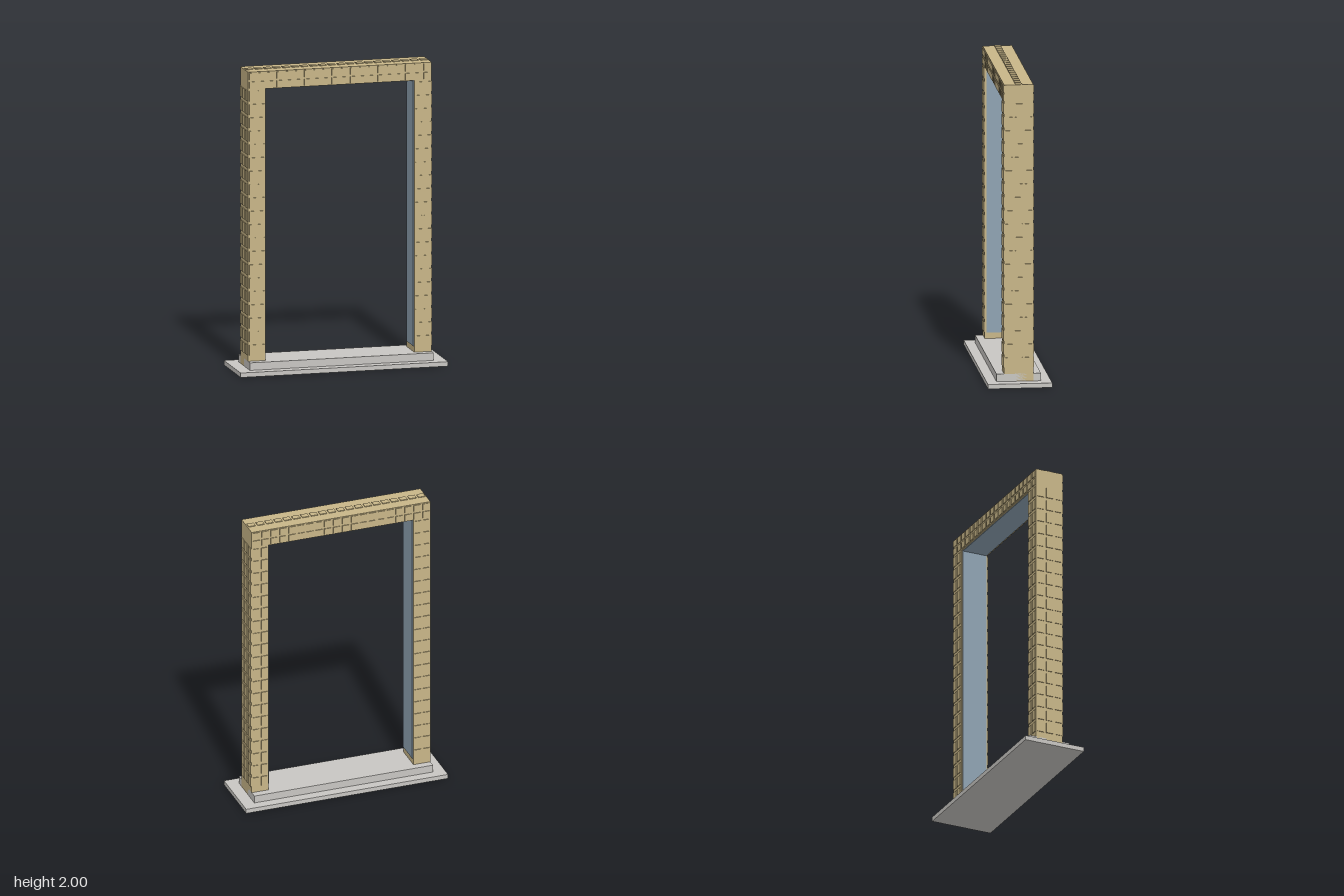
import * as THREE from 'three';
import { mergeGeometries } from 'three/addons/utils/BufferGeometryUtils.js';

const material = (name, color) => new THREE.MeshStandardMaterial({ name, color });

// Box given by its minimum and maximum corners
function block(x0, x1, y0, y1, z0, z1) {
  return new THREE.BoxGeometry(x1 - x0, y1 - y0, z1 - z0)
    .translate((x0 + x1) / 2, (y0 + y1) / 2, (z0 + z1) / 2);
}

// Centres of n equal cells between a and b
function cells(a, b, n) {
  return Array.from({ length: n }, (_, i) => a + (b - a) * (i + 0.5) / n);
}

export function createModel() {
  const stone = material('sandstone', 0xc8b688);
  const grey = material('pale grey stone', 0xc8c6c2);
  const blue = material('blue grey lining', 0x8fa3b3);
  const group = new THREE.Group();
  group.name = 'doorFrame';
  const add = (name, geometry, mat) => {
    const mesh = new THREE.Mesh(geometry, mat);
    mesh.name = name;
    group.add(mesh);
  };

  const OUT = 0.617, IN = 0.5, Z = 0.095, TOP = 1.995, HEAD = 1.88;
  const T = 0.005; // how far tiles and lining stand out
  const FOOT = 0.11; // height where the tiling starts

  // Stepped base
  add('lowerStep', block(-0.697, 0.697, 0, 0.03, -0.21, 0.21), grey);
  add('upperStep', block(-OUT, OUT, 0.03, 0.08, -0.145, 0.145), grey);

  // Lintel and its tiles
  add('lintel', block(-OUT, OUT, HEAD, TOP, -Z, Z), stone);
  const lintelTiles = [];
  for (const x of cells(-OUT, OUT, 20)) {
    lintelTiles.push(new THREE.BoxGeometry(0.047, 2 * T, 0.041).translate(x, TOP, 0));
    for (const y of cells(HEAD, TOP, 2)) {
      for (const z of [-Z, Z]) {
        lintelTiles.push(new THREE.BoxGeometry(0.047, 0.044, 2 * T).translate(x, y, z));
      }
    }
  }
  add('lintelTiles', mergeGeometries(lintelTiles), stone);
  add('lintelLining', block(-IN, IN, HEAD - T, HEAD, -0.085, 0.085), blue);

  // Posts with tiles on the front, back and outer faces
  for (const [side, s] of [['left', 1], ['right', -1]]) {
    const span = (a, b) => (s > 0 ? [a, b] : [-b, -a]);
    add(side + 'Post', block(...span(IN, OUT), 0.005, HEAD, -Z, Z), stone);
    const tiles = [];
    for (const y of cells(FOOT, HEAD, 20)) {
      for (const z of [-Z, Z]) {
        for (const x of cells(IN, OUT, 2)) {
          tiles.push(new THREE.BoxGeometry(0.044, 0.068, 2 * T).translate(s * x, y, z));
        }
      }
      for (const z of cells(-Z, Z, 3)) {
        tiles.push(new THREE.BoxGeometry(2 * T, 0.068, 0.047).translate(s * OUT, y, z));
      }
    }
    add(side + 'PostTiles', mergeGeometries(tiles), stone);
    add(side + 'PostLining', block(...span(IN - T, IN), 0.12, HEAD - T, -0.085, 0.085), blue);
  }

  return group;
}
